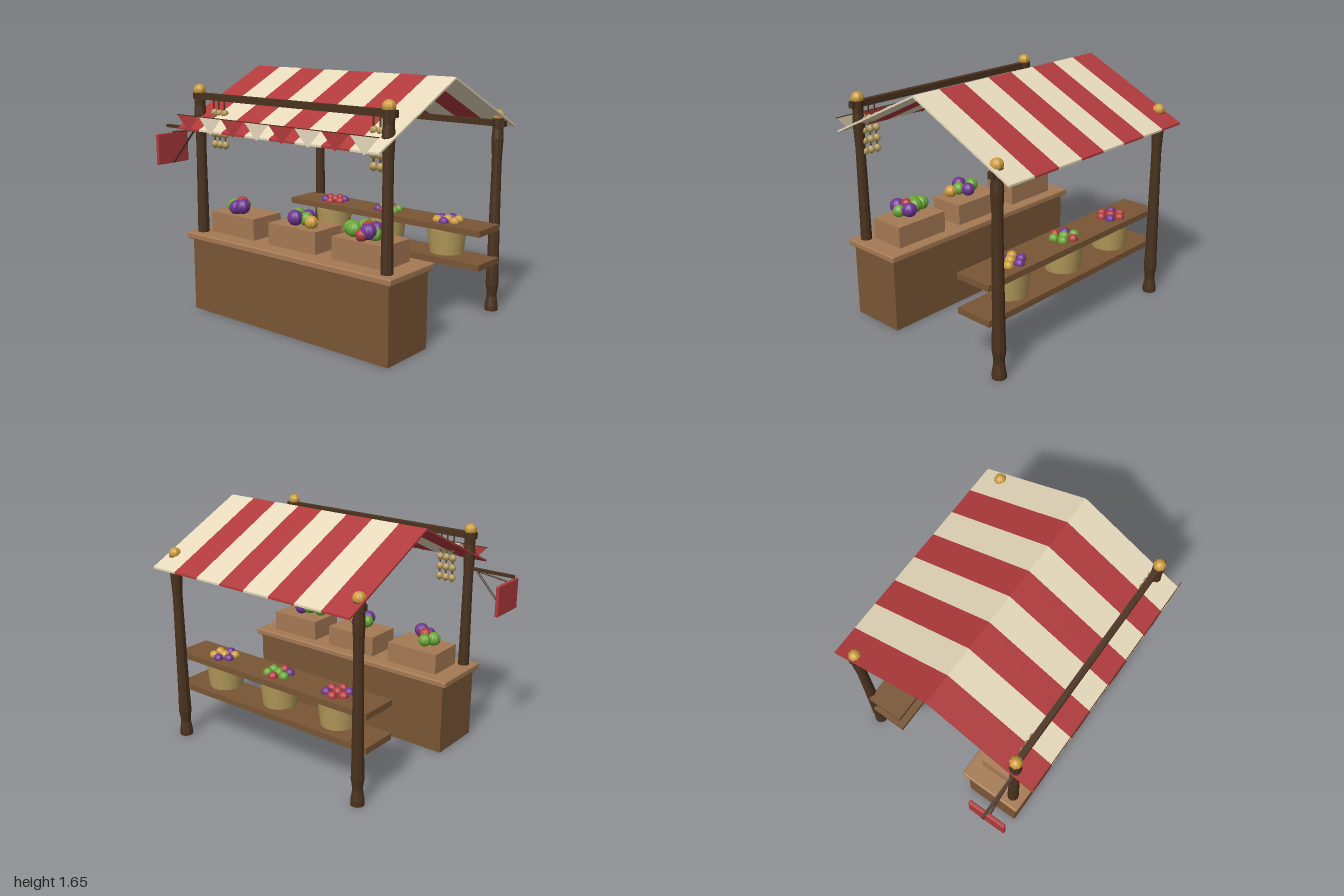
import * as THREE from 'three';
import { RoundedBoxGeometry } from 'three/addons/geometries/RoundedBoxGeometry.js';

const mat = (name, color, opts = {}) => {
  const m = new THREE.MeshStandardMaterial({ color, ...opts });
  m.name = name;
  return m;
};

export function createModel() {
  const darkWood = mat('dark wood', 0x4a321e, { flatShading: true });
  const brownWood = mat('brown wood', 0x7a5636);
  const lightWood = mat('light wood', 0xa67a54);
  const red = mat('red', 0xb03a3c, { side: THREE.DoubleSide });
  const cream = mat('cream', 0xe6d9bb, { side: THREE.DoubleSide });
  const straw = mat('straw', 0xb59b5c);
  const gold = mat('gold', 0xcc9c3c);
  const green = mat('green', 0x6aa636);
  const purple = mat('purple', 0x6e3490);

  const model = new THREE.Group();
  model.name = 'marketStall';
  const add = (name, geo, material, x = 0, y = 0, z = 0, parent = model) => {
    const m = new THREE.Mesh(geo, material);
    m.name = name;
    m.position.set(x, y, z);
    parent.add(m);
    return m;
  };
  // Box given by its limits on each axis
  const box = (name, material, x0, x1, y0, y1, z0, z1, round = 0) => {
    const s = [x1 - x0, y1 - y0, z1 - z0];
    const geo = round ? new RoundedBoxGeometry(...s, 2, round) : new THREE.BoxGeometry(...s);
    return add(name, geo, material, (x0 + x1) / 2, (y0 + y1) / 2, (z0 + z1) / 2);
  };
  // Thin rod between two points
  const rod = (name, a, b, r, material) => {
    const p = new THREE.Vector3(...a), q = new THREE.Vector3(...b);
    const m = add(name, new THREE.CylinderGeometry(r, r, p.distanceTo(q), 6), material);
    m.position.copy(p).lerp(q, 0.5);
    m.quaternion.setFromUnitVectors(new THREE.Vector3(0, 1, 0), q.sub(p).normalize());
    return m;
  };

  const X0 = -0.7, X1 = 0.965, POSTS = [-0.655, 0.91];

  // Sphere of unit radius with eight rounded lobes
  const lobed = new THREE.SphereGeometry(1, 32, 12);
  const pos = lobed.attributes.position;
  for (let i = 0; i < pos.count; i++) {
    const x = pos.getX(i), z = pos.getZ(i);
    const k = 0.9 + 0.1 * Math.abs(Math.sin(4 * Math.atan2(z, x)));
    pos.setXYZ(i, x * k, pos.getY(i) * 0.97, z * k);
  }
  lobed.computeVertexNormals();
  const fruit = (name, material, r, x, y, z) => add(name, lobed, material, x, y, z).scale.setScalar(r);

  // Counter
  box('counterBody', brownWood, X0, X1, 0, 0.505, 0.265, 0.665);
  box('counterTop', lightWood, -0.735, 0.995, 0.505, 0.55, 0.235, 0.695, 0.01);

  // Turned posts with lobed caps
  const post = (name, x, z, h) => {
    const profile = [[0, 0], [0.047, 0], [0.046, 0.025], [0.035, 0.075], [0.036, 0.095], [0.045, 0.14],
      [0.041, 0.25], [0.038, 0.45], [0.034, 0.72], [0.034, 0.8], [0.041, 0.9], [0.036, 0.945], [0.041, 1], [0, 1]];
    const geo = new THREE.LatheGeometry(profile.map(([r, t]) => new THREE.Vector2(r, t * h)), 10);
    add(name, geo, darkWood, x, 0, z);
    fruit(name + 'Cap', gold, 0.042, x, h + 0.017, z);
  };
  for (const x of POSTS) {
    post('frontPost', x, 0.61, 1.505);
    post('backPost', x, -0.625, 1.34);
  }
  box('frontBeam', darkWood, X0, X1, 1.462, 1.505, 0.59, 0.63);
  box('backBeam', darkWood, X0, X1, 1.285, 1.325, -0.645, -0.605);

  // Striped gabled canopy and the row of pennants
  const n = 8, w = (X1 - X0) / n;
  const gable = new THREE.Shape([[-0.77, 1.272], [0, 1.638], [0.77, 1.272], [0.77, 1.285], [0, 1.652], [-0.77, 1.285]]
    .map(p => new THREE.Vector2(...p)));
  const stripeGeo = new THREE.ExtrudeGeometry(gable, { depth: w, bevelEnabled: false });
  stripeGeo.rotateY(-Math.PI / 2).translate(w, 0, 0);
  const flag = new THREE.ShapeGeometry(new THREE.Shape([new THREE.Vector2(0, 0),
    new THREE.Vector2(w / 2, -0.11), new THREE.Vector2(w, 0)]));
  for (let i = 0; i < n; i++) {
    const m = i % 2 ? cream : red;
    add('canopyStripe', stripeGeo, m, X0 + i * w, 0, 0);
    add('pennant', flag, m, X0 + i * w, 1.37, 0.772);
  }
  box('pennantCord', darkWood, X0, X1, 1.367, 1.372, 0.769, 0.774);

  // Hanging sign on its bracket
  box('signArm', darkWood, -1, -0.68, 1.245, 1.265, 0.602, 0.622);
  rod('signBrace', [-0.72, 1.245, 0.612], [-0.945, 1.0, 0.612], 0.007, darkWood);
  rod('signHanger', [-0.72, 1.245, 0.612], [-0.945, 1.215, 0.612], 0.006, darkWood);
  box('signBoard', red, -0.965, -0.94, 0.998, 1.21, 0.48, 0.747, 0.006);

  // Crates of produce on the counter: colour, x offset, y, z, radius
  const crates = [
    [-0.405, [[green, -0.075, 0.735, 0.48, 0.05], [red, -0.01, 0.76, 0.47, 0.045], [purple, -0.005, 0.74, 0.53, 0.05],
      [purple, 0.06, 0.755, 0.535, 0.052], [green, -0.04, 0.735, 0.42, 0.045]]],
    [0.13, [[green, -0.05, 0.752, 0.45, 0.048], [purple, -0.005, 0.75, 0.53, 0.052], [green, 0.045, 0.74, 0.48, 0.046],
      [gold, 0.105, 0.73, 0.5, 0.045], [purple, 0.01, 0.74, 0.42, 0.048]]],
    [0.665, [[green, -0.13, 0.74, 0.47, 0.05], [green, -0.085, 0.742, 0.5, 0.05], [green, -0.045, 0.752, 0.44, 0.052],
      [purple, 0.04, 0.752, 0.52, 0.052], [red, 0.01, 0.73, 0.55, 0.04], [green, 0.06, 0.73, 0.48, 0.045],
      [purple, 0.02, 0.742, 0.42, 0.052], [red, 0.0, 0.765, 0.47, 0.04]]],
  ];
  for (const [cx, items] of crates) {
    box('crate', lightWood, cx - 0.2, cx + 0.2, 0.55, 0.695, 0.315, 0.577);
    for (const [m, dx, y, z, r] of items) fruit('produce', m, r, cx + dx, y, z);
  }

  // Back shelves, baskets between them and small fruit on top
  box('lowerShelf', brownWood, X0, X1, 0.35, 0.392, -0.6, -0.335);
  box('upperShelf', brownWood, X0, X1, 0.583, 0.625, -0.6, -0.335);
  const basketGeo = new THREE.CylinderGeometry(0.138, 0.118, 0.172, 20);
  const mixes = [[-0.37, [red, red, purple, red, red, purple]], [0.13, [green, red, purple, green, red, green]],
    [0.64, [gold, purple, gold, purple, purple, gold]]];
  for (const [bx, mix] of mixes) {
    add('basket', basketGeo, straw, bx, 0.496, -0.455);
    fruit('smallFruit', mix[0], 0.036, bx, 0.632, -0.465);
    for (let i = 0; i < 6; i++) {
      const a = i * Math.PI / 3 + 0.4;
      fruit('smallFruit', mix[i], 0.034, bx + 0.075 * Math.cos(a), 0.63, -0.465 + 0.07 * Math.sin(a));
    }
  }

  // Strings of bulbs hanging behind the front beam
  const bulbGeo = new THREE.LatheGeometry([[0, -0.034], [0.006, -0.026], [0.02, -0.017], [0.026, 0], [0.02, 0.016],
    [0.006, 0.025], [0, 0.034]].map(p => new THREE.Vector2(...p)), 10);
  for (const sx of [-0.49, 0.84]) {
    for (let i = -1; i <= 1; i++) {
      const x = sx + i * 0.05;
      rod('bulbString', [x, 1.16, 0.588], [x, 1.465, 0.594], 0.005, darkWood);
      for (let j = 0; j < 4; j++) add('bulb', bulbGeo, straw, x, 1.167 + j * 0.07, 0.588);
    }
  }
  return model;
}
